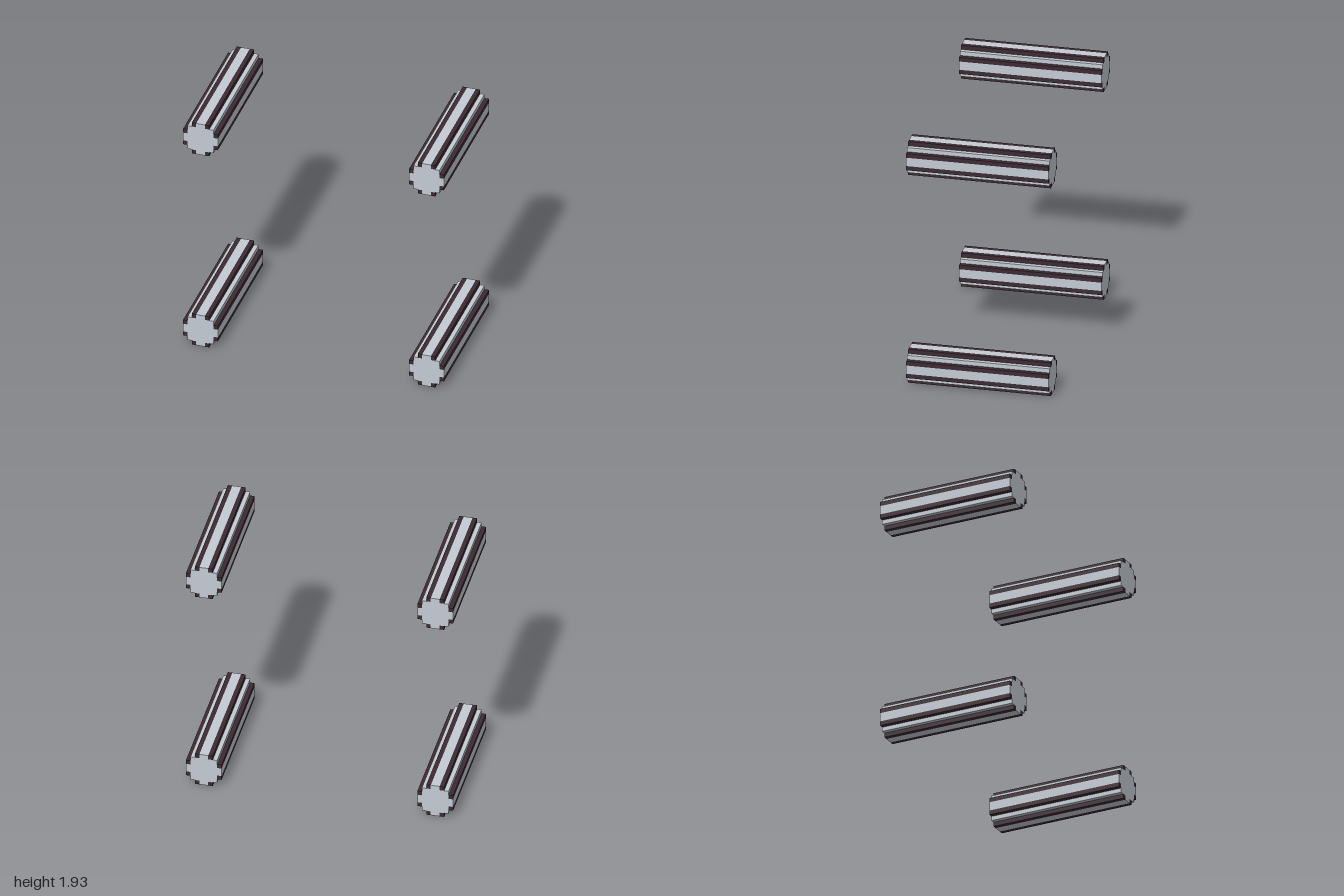
import * as THREE from 'three';

const U = 1 / 30; // one grid cell of the stepped cross-section
const LENGTH = 32 * U;

const pale = new THREE.MeshStandardMaterial({ color: 0xc3cbd3 });
const dark = new THREE.MeshStandardMaterial({ color: 0x3d2a33 });

// Turn a point by quarter turns about the bar's axis
function quarterTurn([x, y], turns) {
  for (let i = 0; i < turns; i++) [x, y] = [-y, x];
  return [x, y];
}

// Stepped cross-section, one quarter repeated four times
function coreGeometry() {
  const quarter = [[4, -1], [4, 1], [3, 1], [3, 3], [1, 3]];
  const points = [];
  for (let q = 0; q < 4; q++) {
    for (const p of quarter) {
      const [x, y] = quarterTurn(p, q);
      points.push(new THREE.Vector2(x * U, y * U));
    }
  }
  return new THREE.ExtrudeGeometry(new THREE.Shape(points), { depth: LENGTH, bevelEnabled: false })
    .translate(0, 0, -LENGTH / 2);
}

export function createModel() {
  const model = new THREE.Group();
  model.name = 'fourBars';
  const core = coreGeometry();
  const strip = new THREE.BoxGeometry(U, U, LENGTH);

  function addBar(name, x, y) {
    const bar = new THREE.Group();
    bar.name = name;
    bar.position.set(x, y, 0);

    const body = new THREE.Mesh(core, pale);
    body.name = 'barCore';
    bar.add(body);

    // Two dark edge strips on each of the four sides
    for (let q = 0; q < 4; q++) {
      for (const side of [-1.5, 1.5]) {
        const [sx, sy] = quarterTurn([3.5, side], q);
        const edge = new THREE.Mesh(strip, dark);
        edge.name = 'edgeStrip';
        edge.position.set(sx * U, sy * U, 0);
        bar.add(edge);
      }
    }
    model.add(bar);
  }

  // One bar at each corner of the upright rectangle
  for (const [height, y] of [['lower', 4 * U], ['upper', 54 * U]]) {
    addBar(height + 'LeftBar', 26 * U, y);
    addBar(height + 'RightBar', -26 * U, y);
  }
  return model;
}
